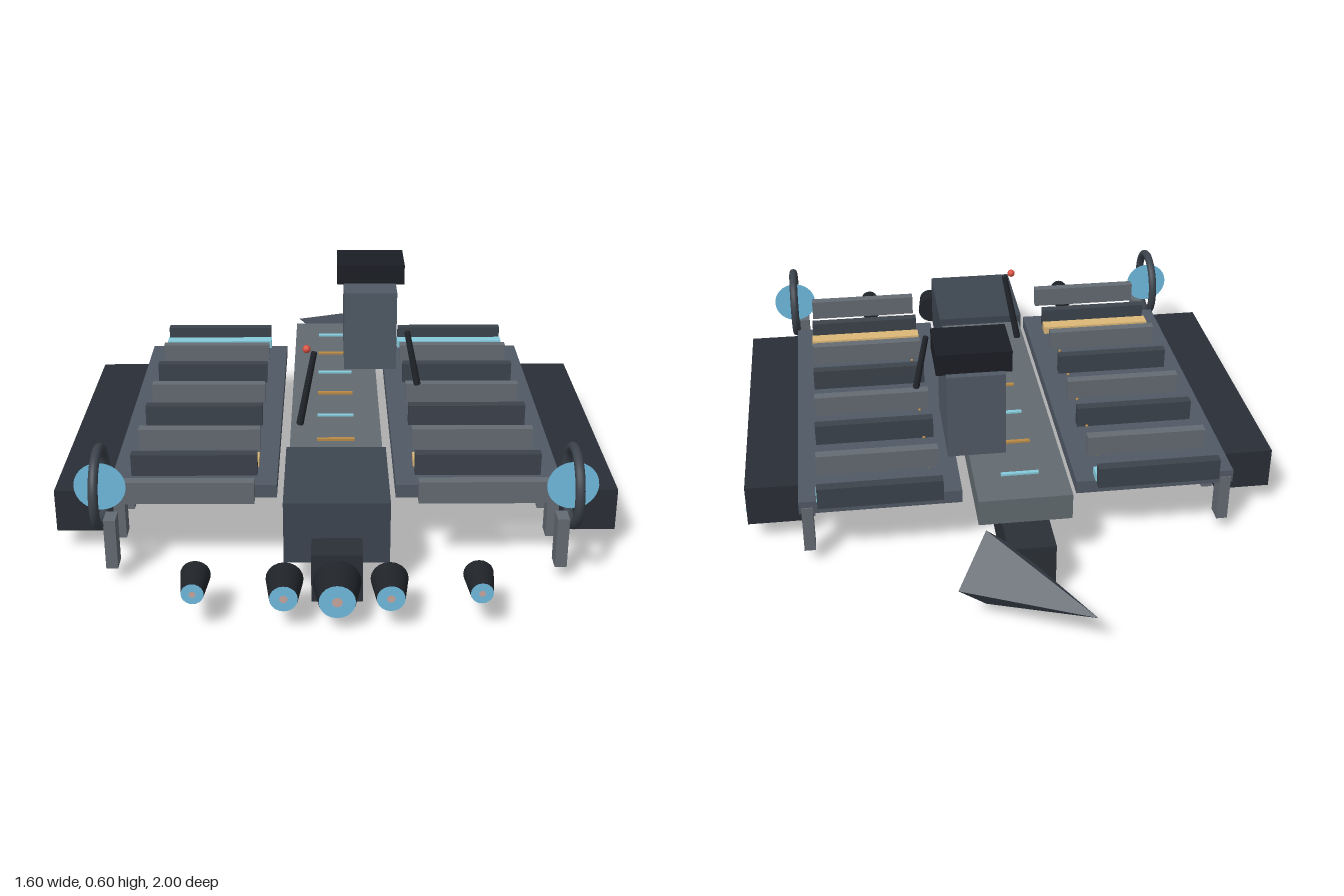
import * as THREE from 'three';

const COLORS = {
  keel: 0x2b3037, block: 0x3d4550, spine: 0x626b70, wing: 0x505965, pontoon: 0x2a2e36,
  gillLight: 0x636b72, gillDark: 0x3c434c, tower: 0x505965, cap: 0x1b1e24, panel: 0x14171b,
  engine: 0x202429, glow: 0x70bce0, core: 0xc8a8a0, cyan: 0x86cbdc, amber: 0xdcb878,
  amberLight: 0xb98a45, ring: 0x3c434c, cone: 0x434b57, red: 0xd85040, mast: 0x22262b,
};
const materials = {};
for (const [key, color] of Object.entries(COLORS)) {
  materials[key] = new THREE.MeshStandardMaterial({ color });
}
materials.cone.flatShading = true;
materials.glow.side = THREE.DoubleSide;

export function createModel() {
  const root = new THREE.Group();
  root.name = 'spacecraft';

  const add = (name, geometry, material, x = 0, y = 0, z = 0, parent = root) => {
    const mesh = new THREE.Mesh(geometry, materials[material]);
    mesh.name = name;
    mesh.position.set(x, y, z);
    parent.add(mesh);
    return mesh;
  };
  // Box given by its extents on each axis
  const box = (name, material, [x0, x1], [y0, y1], [z0, z1], parent = root) =>
    add(name, new THREE.BoxGeometry(x1 - x0, y1 - y0, z1 - z0), material,
      (x0 + x1) / 2, (y0 + y1) / 2, (z0 + z1) / 2, parent);
  // Extent on the chosen side of the model
  const side = (s, a, b) => (s > 0 ? [a, b] : [-b, -a]);

  // Central hull
  box('keel', 'keel', [-0.068, 0.068], [0.04, 0.18], [-0.735, 0.9]);
  box('spineDeck', 'spine', [-0.135, 0.135], [0.18, 0.26], [-0.61, 0.5]);
  box('frontBlock', 'block', [-0.143, 0.143], [0.105, 0.285], [0.47, 0.81]);
  for (let i = 0; i < 6; i++) {
    const z = 0.37 - i * 0.171;
    box('spineLight', i % 2 ? 'cyan' : 'amberLight', [-0.055, 0.055], [0.255, 0.266], [z - 0.006, z + 0.006]);
  }

  // Command tower, offset to the left
  box('tower', 'tower', [0.03, 0.2], [0.285, 0.548], [-0.405, -0.115]);
  box('towerCap', 'cap', [0.008, 0.228], [0.545, 0.61], [-0.383, -0.213]);

  // Leaning masts
  const mast = (name, from, to) => {
    const a = new THREE.Vector3(...from), b = new THREE.Vector3(...to);
    const dir = b.clone().sub(a);
    const mesh = add(name, new THREE.CylinderGeometry(0.009, 0.011, dir.length(), 8), 'mast');
    mesh.position.copy(a).add(b).multiplyScalar(0.5);
    mesh.quaternion.setFromUnitVectors(new THREE.Vector3(0, 1, 0), dir.normalize());
  };
  mast('tallMast', [-0.107, 0.285, 0.31], [-0.063, 0.515, 0.31]);
  mast('shortMast', [0.262, 0.285, 0.01], [0.226, 0.465, 0.01]);
  add('mastBeacon', new THREE.SphereGeometry(0.012, 12, 8), 'red', -0.085, 0.525, 0.31);

  // Four-sided tail cone, turned to the right and backwards
  const cone = new THREE.ConeGeometry(0.127, 0.365, 4).rotateX(-Math.PI / 2).rotateY(0.815);
  add('tailCone', cone, 'cone', -0.002, 0.135, -0.873);

  // Row of tapered thrusters
  const thruster = (x, y, r) => {
    const group = new THREE.Group();
    group.name = 'thruster';
    group.position.set(x, y, 0.948);
    root.add(group);
    add('nozzle', new THREE.CylinderGeometry(r * 0.75, r, 0.096, 20).rotateX(Math.PI / 2), 'engine', 0, 0, 0, group);
    add('nozzleGlow', new THREE.CircleGeometry(r * 0.74, 20), 'glow', 0, 0, 0.05, group);
    add('nozzleCore', new THREE.CircleGeometry(r * 0.22, 12), 'core', 0, 0, 0.052, group);
  };
  thruster(0, 0.1, 0.065);

  for (const s of [1, -1]) {
    thruster(s * 0.138, 0.11, 0.05);
    thruster(s * 0.371, 0.125, 0.04);

    // Wing deck, belly panel and side pontoon
    const wing = new THREE.Group();
    wing.name = s > 0 ? 'leftWing' : 'rightWing';
    root.add(wing);
    box('wingDeck', 'wing', side(s, 0.168, 0.64), [0.18, 0.22], [-0.49, 0.58], wing);
    box('bellyPanel', 'panel', side(s, 0.25, 0.55), [0.147, 0.172], [-0.34, 0.43], wing);
    box('pontoon', 'pontoon', side(s, 0.628, 0.798), [0.073, 0.2], [-0.37, 0.575], wing);
    box('amberStrip', 'amber', side(s, 0.222, 0.588), [0.225, 0.25], [0.43, 0.475], wing);
    box('cyanStrip', 'cyan', side(s, 0.222, 0.588), [0.225, 0.25], [-0.502, -0.46], wing);

    // Cross fins on the deck, each with a leg at its outer end
    for (let i = 0; i < 8; i++) {
      const z = 0.676 - i * 0.17;
      box('deckFin', i % 2 ? 'gillDark' : 'gillLight', side(s, 0.225, 0.585), [0.22, 0.285], [z - 0.015, z + 0.015], wing);
      box('leg', 'gillLight', side(s, 0.6, 0.633), [0.052, 0.2], [z + 0.02, z + 0.072], wing);
    }

    // Small lamps along the deck and the pontoon flank
    const lamp = new THREE.SphereGeometry(0.005, 6, 4);
    for (let i = 0; i < 12; i++) {
      add('deckLamp', lamp, i % 2 ? 'cyan' : 'amberLight', s * 0.255, 0.222, 0.47 - i * 0.0825, wing);
    }
    for (let i = 0; i < 9; i++) {
      const z = 0.52 - i * 0.105;
      add('flankLamp', lamp, 'cyan', s * 0.797, 0.165, z, wing);
      add('flankLamp', lamp, 'cyan', s * 0.797, 0.12, z - 0.04, wing);
    }

    // Ring with a lens set across it
    add('ring', new THREE.TorusGeometry(0.106, 0.0135, 12, 40).rotateY(Math.PI / 2), 'ring', s * 0.645, 0.276, 0.693, wing);
    add('ringLens', new THREE.CircleGeometry(0.071, 32), 'glow', s * 0.645, 0.276, 0.693, wing);
  }
  return root;
}
